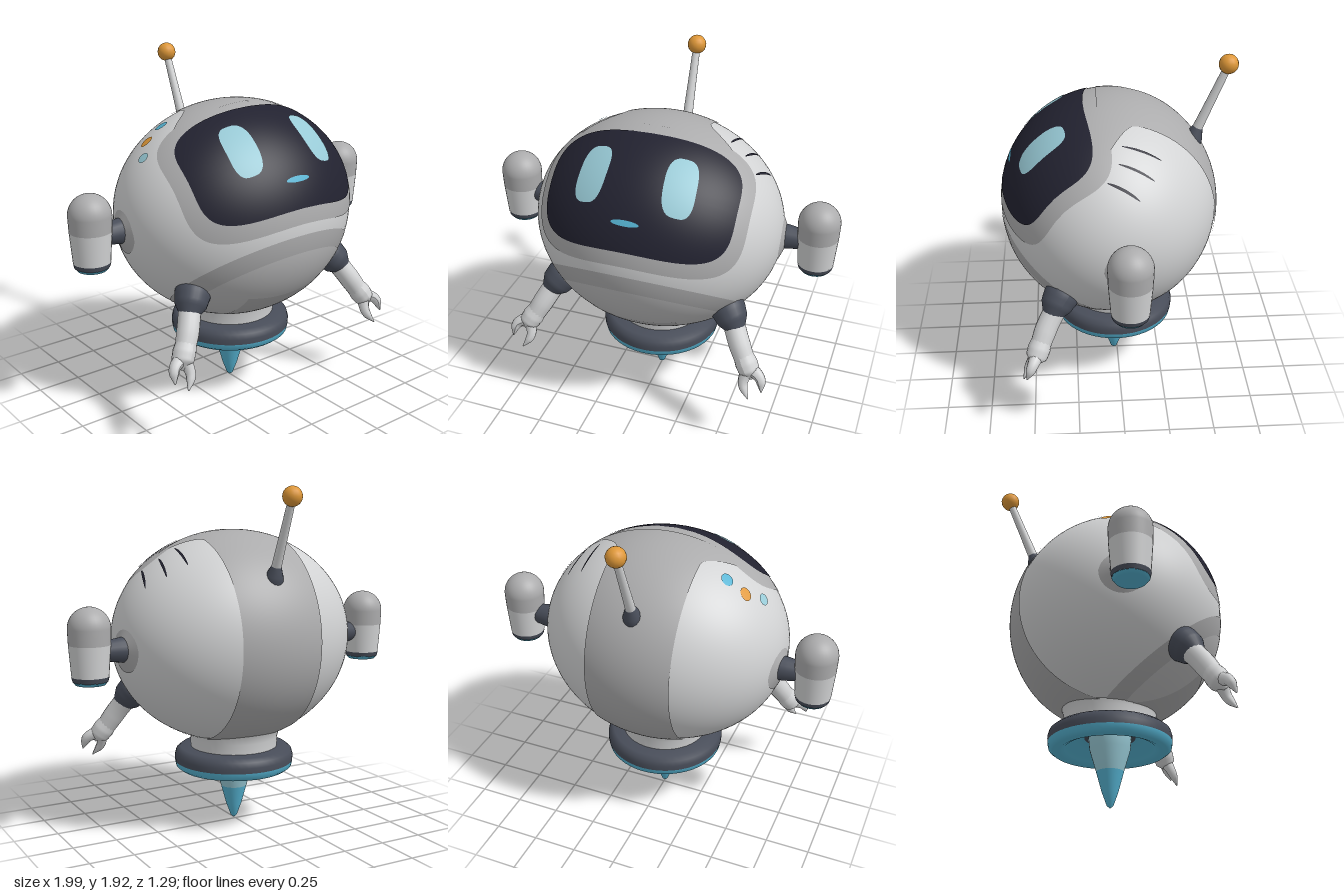
import * as THREE from 'three';
import { ParametricGeometry } from 'three/addons/geometries/ParametricGeometry.js';

const mat = (name, color) => Object.assign(new THREE.MeshStandardMaterial({ color }), { name });
const M = {
  light: mat('lightGrey', 0xd2d3d4),
  mid: mat('midGrey', 0xacacad),
  belly: mat('bellyGrey', 0xbcbcbd),
  slate: mat('slate', 0x484d59),
  visor: mat('visorNavy', 0x222230),
  cyan: mat('cyan', 0x56b4d3),
  pale: mat('paleCyan', 0x98cad6),
  orange: mat('orange', 0xdf9838),
};

// Body: a spheroid, wider along x
const RX = 0.7, R = 0.6, CY = 1.08, CZ = 0.05;

function createModel() {
  const root = new THREE.Group();
  const add = (name, geo, material, parent = root) => {
    const m = new THREE.Mesh(geo, material);
    m.name = name;
    parent.add(m);
    return m;
  };
  const lathe = (name, pts, material, parent, seg = 48) =>
    add(name, new THREE.LatheGeometry(pts.map(p => new THREE.Vector2(...p)), seg), material, parent);

  // Thin skin that follows the body, lifted by a small offset
  const skin = (name, fn, nu, nv, lift, material) => {
    const geo = new ParametricGeometry(fn, nu, nv);
    const pos = geo.attributes.position, nor = geo.attributes.normal;
    const p = new THREE.Vector3(), n = new THREE.Vector3();
    for (let i = 0; i < pos.count; i++) {
      p.fromBufferAttribute(pos, i);
      n.set(p.x / RX ** 2, p.y / R ** 2, p.z / R ** 2).normalize();
      p.addScaledVector(n, lift);
      pos.setXYZ(i, p.x, p.y, p.z);
      nor.setXYZ(i, n.x, n.y, n.z);
    }
    add(name, geo, material).position.set(0, CY, CZ);
  };

  // Superellipse patch projected on the body along a pitched direction
  const patch = (name, material, { pitch, u = 0, v = 0, w, h, n = 2, lift, shear = 0, big = false }) => {
    const c = Math.cos(pitch), s = Math.sin(pitch);
    const power = t => Math.sign(t) * Math.abs(t) ** (2 / n);
    skin(name, (r, a, out) => {
      const t = a * Math.PI * 2;
      const dv = h * r * power(Math.sin(t));
      const pu = u + w * r * power(Math.cos(t)) + shear * dv, pv = v + dv;
      const d = Math.sqrt(Math.max(0, R * R * (1 - (pu / RX) ** 2) - pv * pv));
      out.set(pu, pv * c + d * s, d * c - pv * s);
    }, big ? 24 : 8, big ? 120 : 40, lift, material);
  };

  // Tapered tube through points with a radius at each point
  const limb = (name, pts, radii, material, parent = root, round = 16) => {
    const curve = new THREE.CatmullRomCurve3(pts.map(p => new THREE.Vector3(...p)));
    const seg = 16, geo = new THREE.TubeGeometry(curve, seg, 1, round);
    const pos = geo.attributes.position, p = new THREE.Vector3();
    for (let i = 0; i < pos.count; i++) {
      const t = Math.floor(i / (round + 1)) / seg, c = curve.getPointAt(t);
      const k = t * (radii.length - 1), j = Math.min(Math.floor(k), radii.length - 2);
      const r = THREE.MathUtils.lerp(radii[j], radii[j + 1], k - j);
      p.fromBufferAttribute(pos, i).sub(c).multiplyScalar(r).add(c);
      pos.setXYZ(i, p.x, p.y, p.z);
    }
    geo.computeVertexNormals();
    return add(name, geo, material, parent);
  };

  // Body shell
  const body = add('body', new THREE.SphereGeometry(1, 96, 64), M.light);
  body.scale.set(RX, R, R);
  body.position.set(0, CY, CZ);

  // Central band: over the top, down the back and under, flaring at the visor
  const rad = THREE.MathUtils.degToRad;
  skin('backBand', (u, t, out) => {
    const a = rad(84 + t * (321 - 84));
    const half = 0.24 + 0.19 * (1 - THREE.MathUtils.smoothstep(a, rad(84), rad(104)));
    const x = (u * 2 - 1) * half, r = R * Math.sqrt(1 - (x / RX) ** 2);
    out.set(x, r * Math.sin(a), r * Math.cos(a));
  }, 24, 120, 0.006, M.mid);

  // Belly rings
  const down = rad(-51.7), up = Math.PI / 4;
  patch('bellyRing', M.mid, { pitch: down, w: 0.545, h: 0.467, lift: 0.002, big: true });
  patch('bellyPanel', M.belly, { pitch: down, w: 0.464, h: 0.398, lift: 0.004, big: true });

  // Face
  patch('visorBorder', M.mid, { pitch: up, w: 0.57, h: 0.385, n: 3.4, lift: 0.003, big: true });
  patch('visor', M.visor, { pitch: up, w: 0.51, h: 0.318, n: 3.6, lift: 0.007, big: true });
  for (const s of [-1, 1])
    patch('eye', M.pale, { pitch: up, u: s * 0.232, v: 0.048, w: 0.08, h: 0.155, n: 3, shear: -s * 0.06, lift: 0.01 });
  patch('mouth', M.cyan, { pitch: up, v: -0.18, w: 0.075, h: 0.015, lift: 0.01 });

  // Status lights and vent slits on the upper sides
  [[-0.56, 0.01, 0.02, M.pale], [-0.485, -0.07, 0.027, M.orange], [-0.385, -0.08, 0.03, M.cyan]]
    .forEach(([x, z, w, m]) => patch('statusLight', m, { pitch: Math.PI / 2, u: x, v: CZ - z, w, h: 0.034, lift: 0.006 }));
  [[0.385, -0.1, 0.1, 0.1], [0.48, -0.07, 0.09, 0.2], [0.56, 0, 0.08, 0.3]]
    .forEach(([x, z, h, shear]) => patch('ventSlit', M.visor, { pitch: Math.PI / 2, u: x, v: CZ - z, w: 0.006, h, shear, lift: 0.005 }));

  // Neck, hover ring and thruster cone
  const base = new THREE.Group();
  base.name = 'hoverBase';
  base.position.z = 0.02;
  root.add(base);
  lathe('neck', [[0.25, 0.42], [0.252, 0.5], [0.272, 0.57], [0.33, 0.63]], M.light, base);
  lathe('ringTop', [[0.342, 0.36], [0.343, 0.39], [0.335, 0.42], [0.31, 0.44], [0.24, 0.445]], M.slate, base);
  lathe('ringUnderside', [[0.14, 0.39], [0.19, 0.375], [0.25, 0.325], [0.28, 0.312], [0.315, 0.314], [0.336, 0.33], [0.342, 0.36]], M.cyan, base);
  lathe('ringHub', [[0, 0.39], [0.145, 0.39]], M.slate, base);
  lathe('thrusterTop', [[0.075, 0.2], [0.112, 0.325], [0.118, 0.39]], M.pale, base, 32);
  lathe('thrusterTip', [[0, 0], [0.018, 0.015], [0.045, 0.09], [0.075, 0.2]], M.cyan, base, 32);

  // Antenna
  limb('antennaSocket', [[0, 1.39, -0.395], [0, 1.45, -0.42], [0, 1.51, -0.442]], [0.062, 0.05, 0.025], M.slate);
  limb('antennaRod', [[0, 1.48, -0.43], [0, 1.66, -0.505], [0, 1.84, -0.58]], [0.028, 0.024, 0.021], M.light);
  add('antennaBall', new THREE.SphereGeometry(0.053, 16, 12), M.orange).position.set(0, 1.865, -0.588);

  const dome = Array.from({ length: 13 }, (_, i) => {
    const a = i / 12 * Math.PI / 2;
    return [0.115 * Math.cos(a), 1.185 + 0.115 * Math.sin(a)];
  });
  for (const s of [-1, 1]) {
    // Side pods
    const pod = new THREE.Group();
    pod.name = 'sidePod';
    pod.position.set(s * 0.882, 0, -0.015);
    root.add(pod);
    lathe('podDome', [[0.112, 1.1], ...dome], M.mid, pod, 32);
    lathe('podBarrel', [[0.099, 0.93], [0.112, 1.1]], M.light, pod, 32);
    lathe('podBand', [[0.094, 0.905], [0.101, 0.932]], M.slate, pod, 32);
    lathe('podNozzle', [[0, 0.888], [0.08, 0.888], [0.095, 0.907]], M.cyan, pod, 32);
    limb('podLink', [[s * 0.66, 1.06, -0.02], [s * 0.72, 1.06, -0.02], [s * 0.8, 1.06, -0.018]], [0.075, 0.066, 0.055], M.slate);
    const collar = add('podSocket', new THREE.CylinderGeometry(0.07, 0.128, 0.026, 32), M.mid);
    collar.rotation.z = -s * (Math.PI / 2);
    collar.rotation.y = s * 0.13;
    collar.position.set(s * 0.691, 1.06, -0.02);

    // Arms with two-pronged hands
    const arm = new THREE.Group();
    arm.name = 'arm';
    root.add(arm);
    const at = pts => pts.map(([x, y, z]) => [s * x, y, z]);
    limb('shoulder', at([[0.43, 0.82, 0.27], [0.495, 0.75, 0.335], [0.555, 0.675, 0.385]]), [0.07, 0.095, 0.096, 0.085, 0.05], M.slate, arm, 24);
    limb('forearm', at([[0.52, 0.72, 0.35], [0.575, 0.62, 0.41], [0.625, 0.53, 0.45]]), [0.062, 0.06, 0.06, 0.055], M.light, arm);
    limb('palm', at([[0.612, 0.555, 0.44], [0.655, 0.485, 0.47], [0.675, 0.44, 0.49]]), [0.055, 0.062, 0.058, 0.005], M.light, arm);
    limb('outerFinger', at([[0.66, 0.5, 0.465], [0.725, 0.465, 0.495], [0.742, 0.395, 0.525]]), [0.04, 0.033, 0.026, 0.003], M.light, arm, 10);
    limb('innerFinger', at([[0.645, 0.49, 0.47], [0.635, 0.41, 0.51], [0.675, 0.345, 0.545]]), [0.04, 0.03, 0.023, 0.003], M.light, arm, 10);
  }
  return root;
}

export { createModel };
